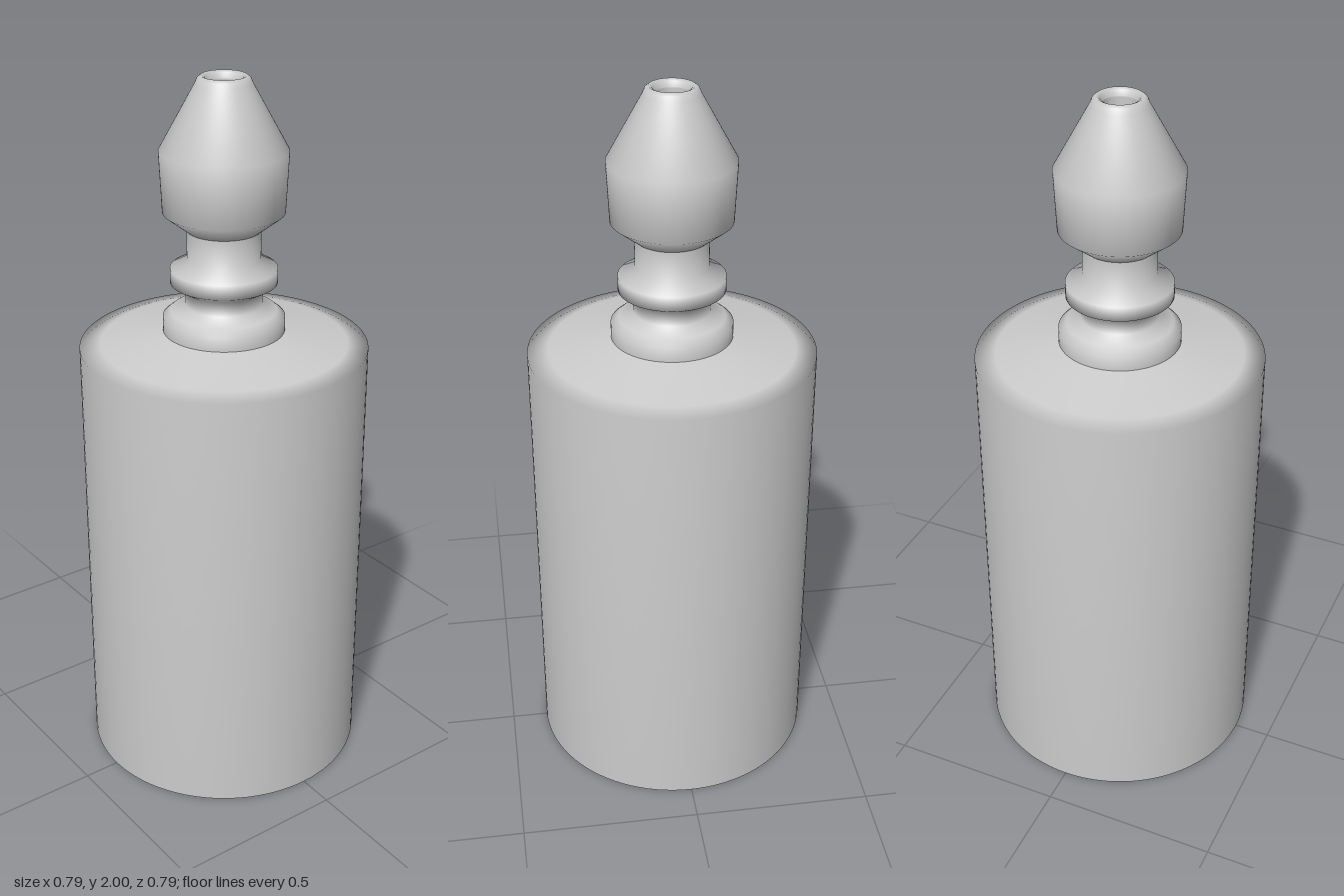
import * as THREE from 'three';

const material = new THREE.MeshStandardMaterial({ color: 0xcccccc, side: THREE.DoubleSide });

// Revolves [radius, height] pairs around the y axis
function lathe(name, profile) {
  const points = profile.map(([r, y]) => new THREE.Vector2(r, y));
  const mesh = new THREE.Mesh(new THREE.LatheGeometry(points, 96), material);
  mesh.name = name;
  return mesh;
}

export function createModel() {
  const group = new THREE.Group();
  group.name = 'nozzleBottle';

  // Open-bottomed sleeve with a softly sloped shoulder
  group.add(lathe('sleeve', [
    [0.397, 0], [0.397, 1.262], [0.34, 1.27], [0.167, 1.305],
  ]));

  // Stepped neck with a collar
  group.add(lathe('neck', [
    [0.167, 1.305], [0.167, 1.345], [0.145, 1.363], [0.105, 1.38], [0.105, 1.42],
    [0.146, 1.443], [0.146, 1.483], [0.1, 1.51], [0.1, 1.59],
  ]));

  // Bulbous tip, rolled over at the opening
  group.add(lathe('tip', [
    [0.1, 1.59], [0.164, 1.64], [0.172, 1.805], [0.075, 1.98],
    [0.07, 1.993], [0.06, 2], [0.05, 1.995], [0.045, 1.98],
  ]));

  // Narrow bore through the tip, widening into the inner tube
  group.add(lathe('bore', [[0.045, 1.98], [0.045, 1.36]]));
  group.add(lathe('boreShoulder', [[0.045, 1.36], [0.187, 1.27]]));
  group.add(lathe('innerTube', [[0.187, 1.27], [0.187, 0]]));

  return group;
}
